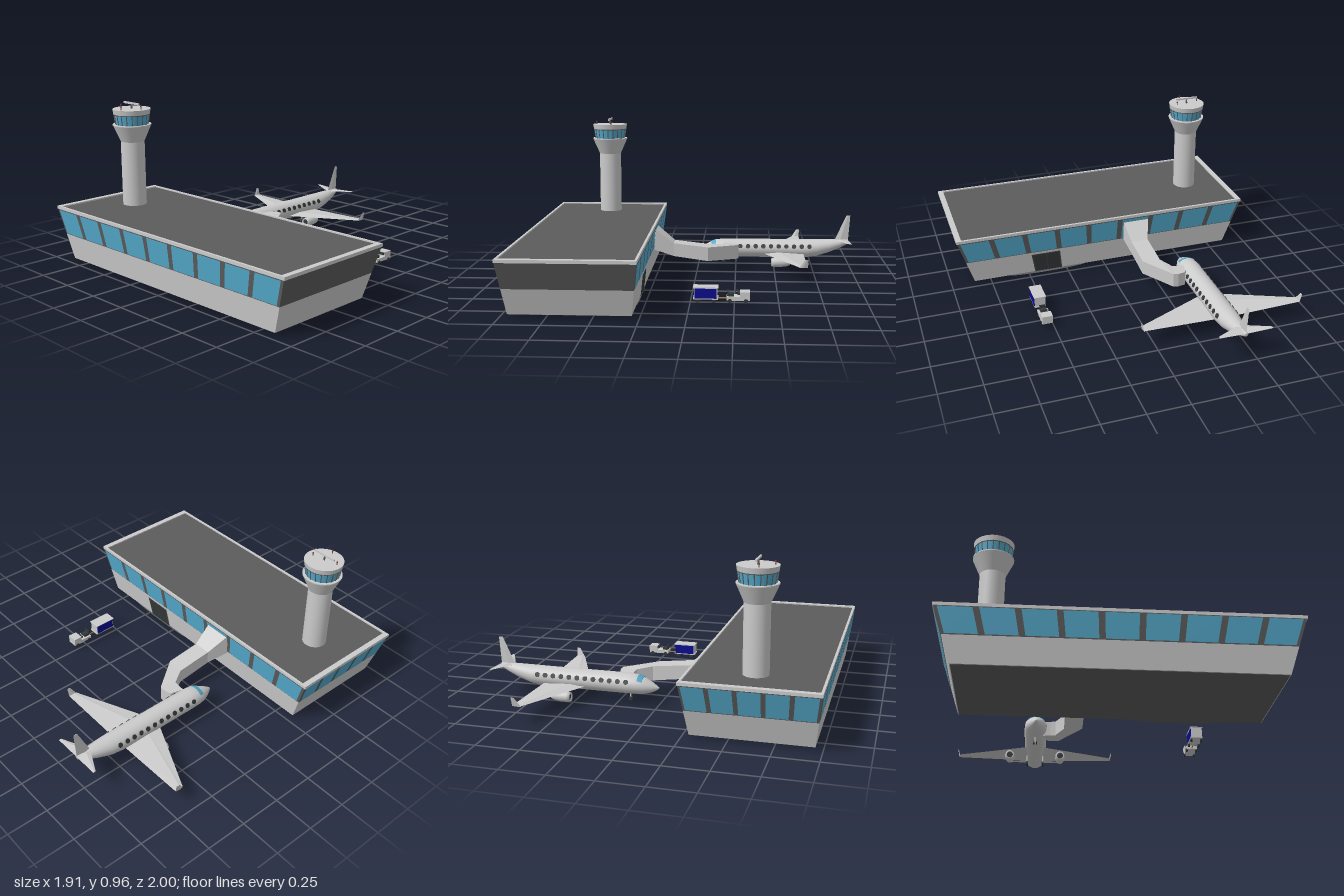
import * as THREE from 'three';

const mat = (color, o = {}) => new THREE.MeshStandardMaterial({ color, ...o });
const grey = mat(0xcccccc), flatGrey = mat(0xcccccc, { flatShading: true });
const dark = mat(0x5c5c5c), black = mat(0x333838), glass = mat(0x55aacc, { side: THREE.DoubleSide });
const blue = mat(0x0a0a90), orange = mat(0xb08040), red = mat(0xaa2222);
const darkPane = mat(0x444444, { side: THREE.DoubleSide });
const V = (x, y, z) => new THREE.Vector3(x, y, z);

function add(parent, name, geo, material, x = 0, y = 0, z = 0) {
  const m = new THREE.Mesh(geo, material);
  m.name = name;
  m.position.set(x, y, z);
  parent.add(m);
  return m;
}
const box = (p, n, m, w, h, d, x, y, z) => add(p, n, new THREE.BoxGeometry(w, h, d), m, x, y, z);
const cyl = (p, n, m, rt, rb, h, x, y, z, seg = 32) => add(p, n, new THREE.CylinderGeometry(rt, rb, h, seg), m, x, y, z);
function group(parent, name) {
  const g = new THREE.Group();
  g.name = name;
  parent.add(g);
  return g;
}

// Skin over closed rings of equal length, with both ends capped and faces turned outward
function loft(rings) {
  const n = rings[0].length, pts = rings.flat(), idx = [];
  for (let r = 0; r < rings.length - 1; r++) for (let i = 0; i < n; i++) {
    const a = r * n + i, b = r * n + (i + 1) % n;
    idx.push(a, b, a + n, b, b + n, a + n);
  }
  const last = (rings.length - 1) * n;
  for (let i = 1; i < n - 1; i++) idx.push(0, i + 1, i, last, last + i, last + i + 1);
  let vol = 0;
  for (let i = 0; i < idx.length; i += 3) vol += pts[idx[i]].dot(pts[idx[i + 1]].clone().cross(pts[idx[i + 2]]));
  if (vol < 0) idx.reverse();
  const g = new THREE.BufferGeometry().setFromPoints(pts);
  g.setIndex(idx);
  g.computeVertexNormals();
  return g;
}

// Terminal walls lean outward: half sizes by height
const CZ = 0.625;
const hx = y => 0.855 + 0.32 * (y - 0.015), hz = y => 0.335 + 0.125 * (y - 0.015);
const wallRing = y => [[-1, -1], [1, -1], [1, 1], [-1, 1]].map(([a, b]) => V(a * hx(y), y, CZ + b * hz(y)));

// Thin panel lying on a leaning wall; u runs -1..1 left to right seen from outside
function pane(parent, name, material, side, u0, u1, y0, y1, e = 0.003) {
  const at = (u, y) => side === 'front' ? V(u * hx(y), y, CZ + hz(y) + e)
    : side === 'back' ? V(-u * hx(y), y, CZ - hz(y) - e)
      : V(-hx(y) - e, y, CZ + u * hz(y));
  const g = new THREE.BufferGeometry().setFromPoints([at(u0, y0), at(u1, y0), at(u1, y1), at(u0, y1)]);
  g.setIndex([0, 1, 2, 0, 2, 3]);
  g.computeVertexNormals();
  add(parent, name, g, material);
}

function terminal(root) {
  const t = group(root, 'terminal');
  add(t, 'lowerWall', loft([wallRing(0.015), wallRing(0.165)]), flatGrey);
  add(t, 'upperWall', loft([wallRing(0.165), wallRing(0.32)]), mat(0x5c5c5c, { flatShading: true }));
  box(t, 'floorPlate', dark, 1.7, 0.004, 0.66, 0, 0.0145, CZ);
  // Roof edge frame around the dark roof
  const X = hx(0.333), Z = hz(0.333), rim = new THREE.Shape();
  const rect = (s, a, b) => s.moveTo(-a, -b).lineTo(a, -b).lineTo(a, b).lineTo(-a, b).closePath();
  rect(rim, X, Z);
  rim.holes.push(rect(new THREE.Path(), X - 0.033, Z - 0.014));
  const rg = new THREE.ExtrudeGeometry(rim, { depth: 0.018, bevelEnabled: false }).rotateX(-Math.PI / 2);
  add(t, 'roofEdge', rg, grey, 0, 0.317, CZ);
  box(t, 'roof', dark, 2 * X - 0.06, 0.01, 2 * Z - 0.025, 0, 0.322, CZ);
  // Window rows
  for (const [side, n, gap] of [['front', 9, 0.018], ['back', 9, 0.018], ['right', 5, 0.035]])
    for (let i = 0; i < n; i++)
      pane(t, 'window', glass, side, -1 + 2 * i / n + gap, -1 + 2 * (i + 1) / n - gap, 0.17, 0.312);
  // Back entrance with two leaves and a shallow doorstep dish
  pane(t, 'doorFrame', darkPane, 'back', -0.54, -0.33, 0.016, 0.15);
  for (const u of [-0.53, -0.432]) pane(t, 'doorLeaf', black, 'back', u, u + 0.092, 0.018, 0.142, 0.005);
  const dish = new THREE.SphereGeometry(1, 32, 8, Math.PI, Math.PI, Math.PI / 2, Math.PI / 2);
  dish.scale(0.25, 0.015, 0.27);
  dish.rotateY(dish.attributes.position.getZ(20) < 0 ? Math.PI : 0);
  dish.computeBoundingBox();
  if (dish.boundingBox.max.z < 0.1) dish.rotateY(Math.PI);
  add(t, 'doorstep', dish, mat(0x5c5c5c, { side: THREE.DoubleSide }), 0.38, 0.015, 0.29);
}

function tower(root) {
  const t = group(root, 'controlTower');
  t.position.set(-0.69, 0, 0.615);
  cyl(t, 'shaft', grey, 0.072, 0.072, 0.4, 0, 0.52, 0);
  cyl(t, 'flare', grey, 0.116, 0.072, 0.1, 0, 0.77, 0);
  cyl(t, 'balcony', grey, 0.116, 0.116, 0.006, 0, 0.822, 0);
  cyl(t, 'cabinGlass', glass, 0.109, 0.098, 0.07, 0, 0.855, 0);
  cyl(t, 'cabinRoof', grey, 0.115, 0.11, 0.03, 0, 0.903, 0);
  for (let i = 0; i < 20; i++) {
    const p = group(t, 'mullion');
    p.rotation.y = i * Math.PI / 10;
    box(p, 'mullionBar', dark, 0.005, 0.068, 0.004, 0, 0.855, 0.104).rotation.x = 0.155;
  }
  const rail = add(t, 'cabinBand', new THREE.TorusGeometry(0.1085, 0.0025, 6, 40), dark, 0, 0.885, 0);
  rail.rotation.x = Math.PI / 2;
  // Roof aerials and radar bar
  cyl(t, 'radarPost', dark, 0.004, 0.006, 0.03, 0, 0.932, 0, 10);
  box(t, 'radarBar', grey, 0.145, 0.011, 0.01, 0, 0.95, 0);
  for (const [x, z] of [[-0.08, 0.018], [0.072, -0.016], [0.015, 0.088]]) {
    cyl(t, 'aerial', dark, 0.003, 0.003, 0.018, x, 0.926, z, 8);
    add(t, 'beacon', new THREE.SphereGeometry(0.005, 10, 8), red, x, 0.936, z);
  }
}

// Boarding bridge: left and right floor points with floor and ceiling heights
function bridge(root) {
  const path = [
    [-0.30, 0.262, -0.13, 0.262, 0.165, 0.298], [-0.255, 0.14, -0.145, 0.14, 0.122, 0.205],
    [-0.255, -0.085, -0.145, -0.075, 0.092, 0.18], [-0.305, -0.168, -0.28, -0.262, 0.08, 0.17],
    [-0.335, -0.172, -0.31, -0.267, 0.078, 0.168], [-0.38, -0.172, -0.36, -0.255, 0.076, 0.166]];
  const rings = path.map(([lx, lz, rx, rz, y0, y1]) => [V(lx, y0, lz), V(rx, y0, rz), V(rx, y1, rz), V(lx, y1, lz)]);
  add(root, 'boardingBridge', loft(rings), flatGrey);
}

function aircraft(root) {
  const a = group(root, 'aircraft');
  a.position.x = -0.425;
  // Fuselage stations: z, half width, underside, top
  const body = [[0.005, 0.002, 0.105, 0.109], [-0.01, 0.014, 0.092, 0.121], [-0.04, 0.034, 0.078, 0.14],
    [-0.08, 0.053, 0.068, 0.16], [-0.12, 0.064, 0.065, 0.177], [-0.18, 0.067, 0.064, 0.183], [-0.7, 0.067, 0.064, 0.183],
    [-0.78, 0.062, 0.075, 0.184], [-0.86, 0.048, 0.1, 0.185], [-0.93, 0.032, 0.13, 0.186], [-0.985, 0.012, 0.158, 0.184]];
  const ring = ([z, w, y0, y1]) => Array.from({ length: 28 }, (_, i) => {
    const q = i / 28 * Math.PI * 2;
    return V(Math.cos(q) * w, (y0 + y1) / 2 + Math.sin(q) * (y1 - y0) / 2, z);
  });
  add(a, 'fuselage', loft(body.map(ring)), grey);
  // Cockpit glass wraps over the nose
  const arc = (z, w, c, h) => Array.from({ length: 13 }, (_, i) => {
    const q = Math.PI * (0.2 + 0.6 * i / 12);
    return V(Math.cos(q) * w, c + Math.sin(q) * h, z);
  });
  const lo = arc(-0.09, 0.059, 0.116, 0.0515), hi = arc(-0.118, 0.0655, 0.121, 0.058);
  add(a, 'cockpitWindow', loft([lo, hi]), mat(0x55aacc, { flatShading: true }));
  // Lifting surfaces: sections of span x, height y, leading and trailing z, thickness
  const foil = ([x, y, l, t, h]) => [V(x, y, l), V(x, y + h, l * 0.65 + t * 0.35), V(x, y, t), V(x, y - h, l * 0.65 + t * 0.35)];
  for (const s of [-1, 1]) {
    const wing = [[0, 0.094, -0.41, -0.692, 0.012], [0.49, 0.106, -0.64, -0.692, 0.004]];
    add(a, 'wing', loft(wing.map(([x, ...r]) => foil([s * x, ...r]))), flatGrey);
    const tip = (x, y, l, t, h) => [V(s * x, y, l), V(s * (x + h), y, l * 0.6 + t * 0.4), V(s * x, y, t), V(s * (x - h), y, l * 0.6 + t * 0.4)];
    add(a, 'winglet', loft([tip(0.49, 0.103, -0.64, -0.692, 0.004), tip(0.502, 0.155, -0.675, -0.695, 0.002)]), flatGrey);
    const tail = [[0, 0.178, -0.895, -0.987, 0.007], [0.16, 0.186, -0.975, -0.992, 0.002]];
    add(a, 'tailplane', loft(tail.map(([x, ...r]) => foil([s * x, ...r]))), flatGrey);
    // Engine pod hung under the wing
    const pod = [[0.018, 0.05], [0.026, 0.06], [0.03, 0.04], [0.03, 0], [0.024, -0.04], [0.015, -0.06], [0, -0.06]]
      .reverse().map(p => new THREE.Vector2(...p));
    add(a, 'engine', new THREE.LatheGeometry(pod, 24), mat(0xcccccc, { side: THREE.DoubleSide }), s * 0.16, 0.062, -0.54).rotation.x = Math.PI / 2;
    cyl(a, 'engineIntake', black, 0.019, 0.019, 0.004, s * 0.16, 0.062, -0.49, 20).rotation.x = Math.PI / 2;
    box(a, 'enginePylon', grey, 0.008, 0.025, 0.07, s * 0.16, 0.09, -0.555);
    // Main landing gear
    cyl(a, 'gearLeg', grey, 0.004, 0.004, 0.05, s * 0.05, 0.06, -0.57, 8);
    cyl(a, 'mainWheel', black, 0.015, 0.015, 0.014, s * 0.05, 0.032, -0.57, 16).rotation.z = Math.PI / 2;
    cyl(a, 'noseWheel', black, 0.011, 0.011, 0.007, s * 0.008, 0.03, -0.17, 16).rotation.z = Math.PI / 2;
    // Cabin windows
    for (let i = 0; i < 12; i++) {
      const w = cyl(a, 'cabinWindow', black, 0.0145, 0.0145, 0.006, s * 0.0615, 0.146, -0.18 - i * 0.05, 16);
      w.rotation.z = -s * (Math.PI / 2 - 0.4);
    }
  }
  const fin = (y, l, t, h) => [V(0, y, l), V(h, y, l * 0.6 + t * 0.4), V(0, y, t), V(-h, y, l * 0.6 + t * 0.4)];
  add(a, 'tailFin', loft([fin(0.175, -0.895, -0.985, 0.007), fin(0.345, -0.972, -0.997, 0.002)]), flatGrey);
  cyl(a, 'noseGearLeg', grey, 0.004, 0.004, 0.04, 0, 0.05, -0.17, 8);
}

function wheels(parent, list) {
  for (const z of list) for (const s of [-1, 1])
    cyl(parent, 'wheel', black, 0.012, 0.012, 0.01, s * 0.029, 0.027, z, 16).rotation.z = Math.PI / 2;
}

function baggageTrain(root) {
  const b = group(root, 'baggageTrain');
  b.position.x = 0.538;
  // Covered cart with curtained sides
  box(b, 'cartBed', grey, 0.07, 0.008, 0.14, 0, 0.038, -0.09);
  box(b, 'cartBody', grey, 0.066, 0.06, 0.13, 0, 0.07, -0.09);
  for (const s of [-1, 1]) box(b, 'curtain', blue, 0.003, 0.056, 0.124, s * 0.034, 0.068, -0.09);
  box(b, 'cartRoof', grey, 0.074, 0.005, 0.142, 0, 0.101, -0.09);
  wheels(b, [-0.045, -0.135]);
  box(b, 'towBar', orange, 0.006, 0.006, 0.055, 0, 0.037, -0.185);
  // Tug with bonnet, seat, backrest and steering wheel
  box(b, 'tugChassis', grey, 0.064, 0.022, 0.13, 0, 0.04, -0.272);
  box(b, 'bonnet', grey, 0.064, 0.028, 0.055, 0, 0.064, -0.31);
  box(b, 'dashboard', black, 0.054, 0.012, 0.014, 0, 0.068, -0.276);
  box(b, 'seat', black, 0.038, 0.016, 0.03, 0, 0.058, -0.232);
  box(b, 'backrest', black, 0.038, 0.03, 0.007, 0, 0.068, -0.214);
  const st = add(b, 'steeringWheel', new THREE.TorusGeometry(0.009, 0.002, 6, 16), black, -0.012, 0.079, -0.262);
  st.rotation.x = -1.0;
  wheels(b, [-0.225, -0.315]);
}

export function createModel() {
  const root = new THREE.Group();
  root.name = 'airport';
  terminal(root);
  tower(root);
  bridge(root);
  aircraft(root);
  baggageTrain(root);
  return root;
}
